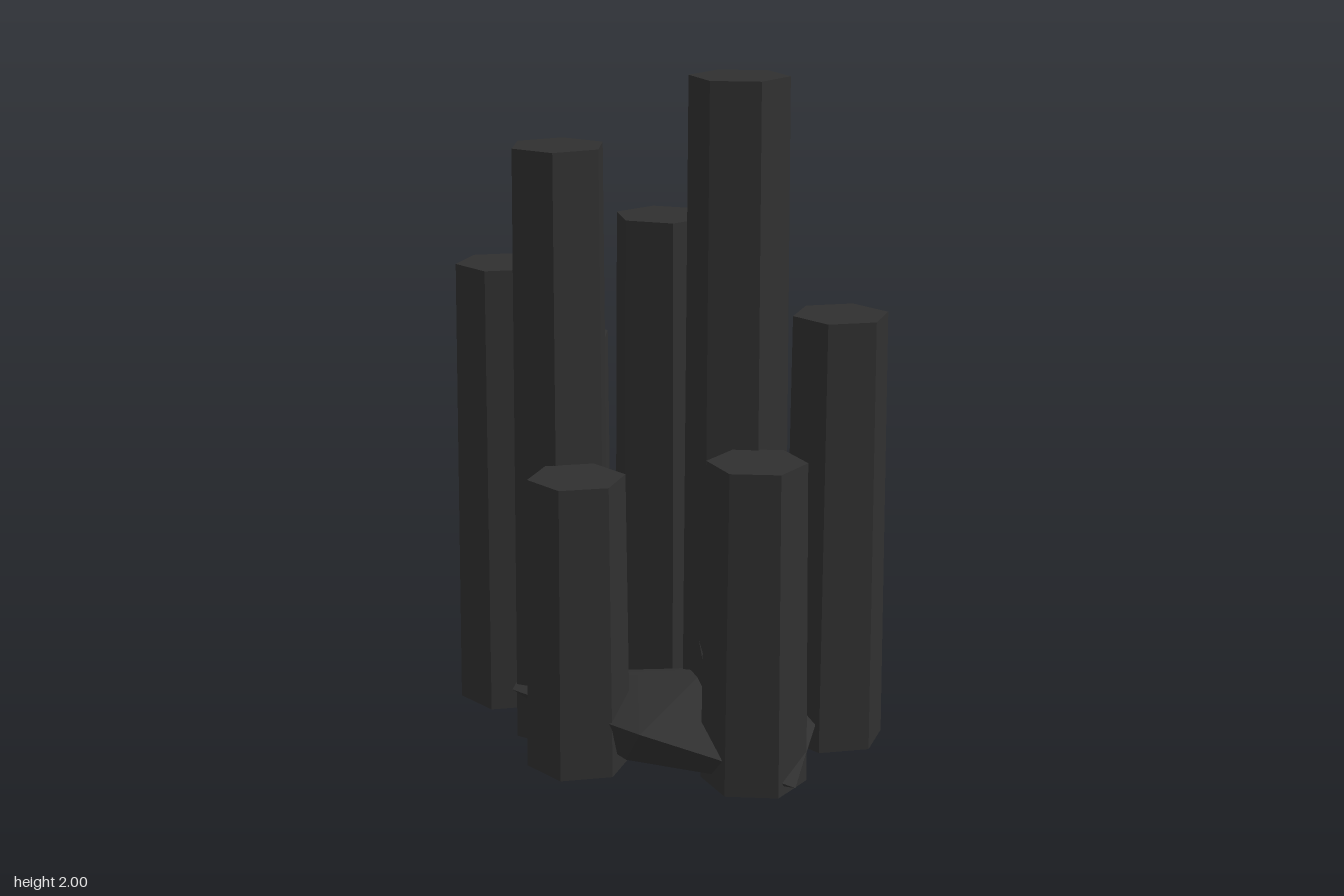
import * as THREE from 'three';
import { ConvexGeometry } from 'three/addons/geometries/ConvexGeometry.js';

export function createModel() {
  const group = new THREE.Group();
  const basalt = new THREE.MeshStandardMaterial({ color: 0x303030, flatShading: true });
  basalt.name = 'basalt';

  const add = (name, geometry) => {
    const mesh = new THREE.Mesh(geometry, basalt);
    mesh.name = name;
    group.add(mesh);
    return mesh;
  };

  // Slightly tapered hexagonal columns: x, z, top height, corner angle in degrees
  const base = 0.045;
  const columns = [
    [0.255, 0.035, 2.0, -12],
    [-0.26, 0.075, 1.79, 15],
    [-0.005, -0.09, 1.58, 0],
    [-0.515, -0.13, 1.4, 30],
    [0.51, -0.13, 1.32, 30],
    [0.125, -0.305, 1.28, 0],
    [-0.385, -0.305, 1.15, 15],
    [0.38, 0.25, 0.98, -14],
    [-0.13, 0.295, 0.9, 30],
  ];
  columns.forEach(([x, z, top, angle], i) => {
    const h = top - base;
    const start = Math.PI / 2 - THREE.MathUtils.degToRad(angle);
    const geometry = new THREE.CylinderGeometry(0.139, 0.15, h, 6, 1, false, start);
    add('column' + (i + 1), geometry).position.set(x, base + h / 2, z);
  });

  // Rough faceted boulder wedged between the columns
  const corners = [
    [0.14, 0.005, 0.13], [-0.02, 0.05, 0.2], [0.35, 0.05, 0.1], [0.2, 0.05, -0.04],
    [0.03, 0.09, 0.34], [0.1, 0.21, 0.425], [0.31, 0.15, 0.385], [0.525, 0.07, 0.33],
    [0.525, 0.13, 0.22], [0.515, 0.16, 0.085], [0.38, 0.17, -0.1], [0.205, 0.2, -0.2],
    [-0.17, 0.2, -0.04], [-0.37, 0.22, 0.14], [-0.37, 0.2, 0.205],
    [0.19, 0.295, 0.1], [0, 0.27, 0.15],
  ].map((p) => new THREE.Vector3(...p));
  add('boulder', new ConvexGeometry(corners));

  // Thin splinter standing on the boulder
  const splinter = add('splinter', new THREE.ConeGeometry(0.02, 0.2, 3));
  splinter.position.set(0.215, 0.32, 0.185);
  splinter.rotation.z = 0.2;
  splinter.scale.z = 0.5;

  return group;
}
